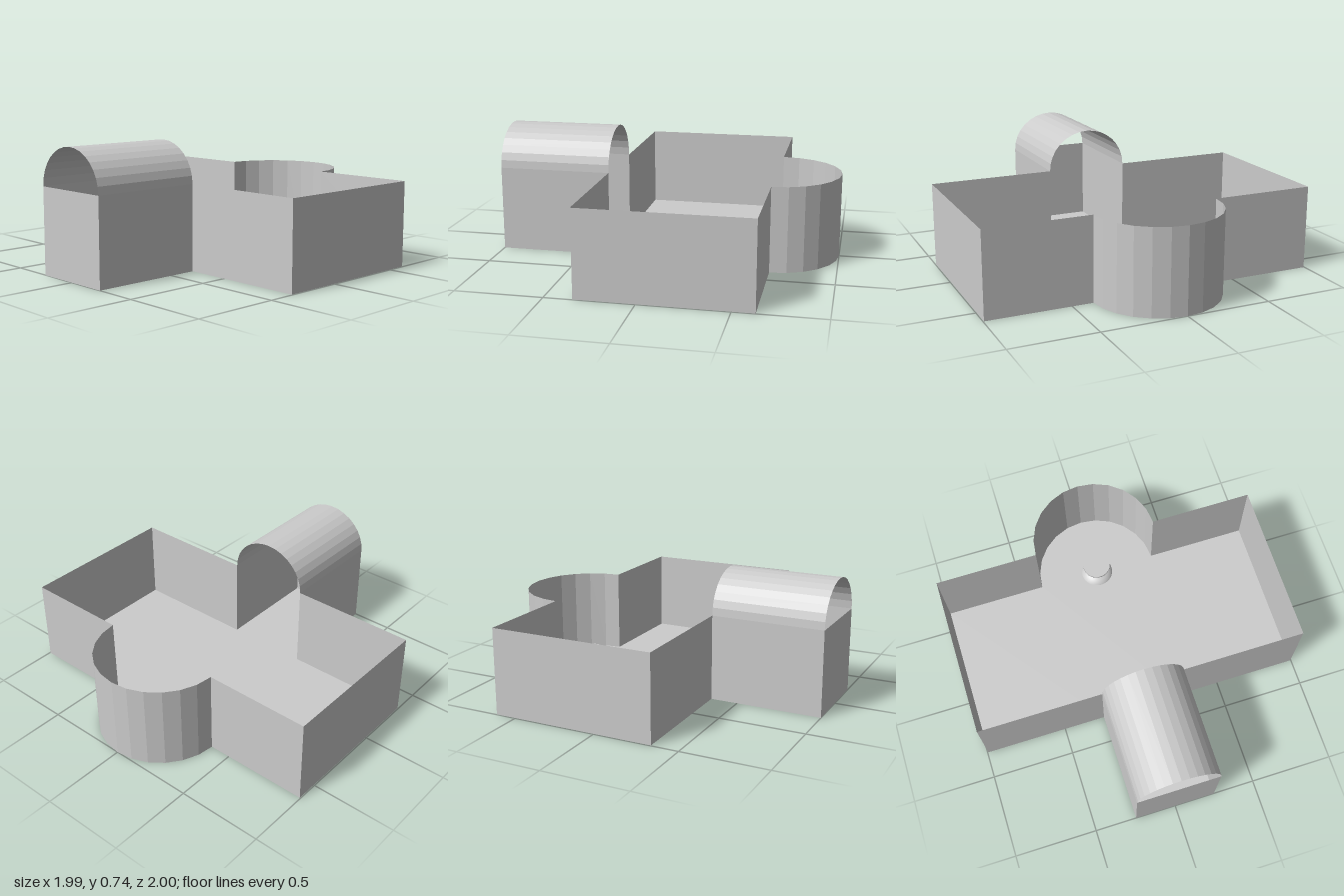
import * as THREE from 'three';

const W = 0.995, H = 0.5;            // half width and height of the hall
const BACK = -0.625, FRONT = 0.34;   // hall ends along z
const PORCH = 0.248, RISE = 0.235;   // porch half width and vault rise
const APSE = 0.375;                  // apse radius

const material = new THREE.MeshStandardMaterial({
  color: 0xcccccc, flatShading: true, side: THREE.DoubleSide,
});
const smooth = new THREE.MeshStandardMaterial({ color: 0xcccccc, side: THREE.DoubleSide });

// Open surface of quads between two matching rows of points
function strip(name, rowA, rowB) {
  const positions = [];
  for (let i = 0; i < rowA.length - 1; i++) {
    const [a, b, c, d] = [rowA[i], rowA[i + 1], rowB[i + 1], rowB[i]];
    positions.push(...a, ...b, ...c, ...a, ...c, ...d);
  }
  const geometry = new THREE.BufferGeometry();
  geometry.setAttribute('position', new THREE.Float32BufferAttribute(positions, 3));
  geometry.computeVertexNormals();
  const mesh = new THREE.Mesh(geometry, material);
  mesh.name = name;
  return mesh;
}

// Upright thin wall along a plan path of [x, z] points
const wall = (name, path) =>
  strip(name, path.map(([x, z]) => [x, 0, z]), path.map(([x, z]) => [x, H, z]));

// Half circle as unit [cos, sin] pairs
const halfCircle = (n) => Array.from({ length: n + 1 }, (_, i) => {
  const a = (Math.PI * i) / n;
  return [Math.cos(a), Math.sin(a)];
});

export function createModel() {
  const group = new THREE.Group();
  group.name = 'chapel';

  // Plan paths
  const apse = halfCircle(12).map(([c, s]) => [APSE * c, BACK - APSE * s]);
  const leftSide = [[PORCH, FRONT], [W, FRONT], [W, BACK], [APSE, BACK]];
  const rightSide = leftSide.map(([x, z]) => [-x, z]).reverse();
  const porch = [[-PORCH, FRONT], [-PORCH, 1], [PORCH, 1], [PORCH, FRONT]];

  // Walls, open to each other inside
  group.add(
    wall('leftHallWalls', leftSide),
    wall('apseWall', apse),
    wall('rightHallWalls', rightSide),
    wall('porchWalls', porch),
  );

  // Floor under the whole plan
  const outline = [...leftSide, ...apse.slice(1, -1), ...rightSide, ...porch.slice(1, 3)]
    .map(([x, z]) => new THREE.Vector2(x, z));
  const floor = new THREE.Mesh(
    new THREE.ShapeGeometry(new THREE.Shape(outline)).rotateX(Math.PI / 2), material);
  floor.name = 'floor';
  group.add(floor);

  // Barrel vault over the porch, open at both ends
  const arch = halfCircle(16).map(([c, s]) => [PORCH * c, H + RISE * s]);
  group.add(strip('porchVault',
    arch.map(([x, y]) => [x, y, 1]), arch.map(([x, y]) => [x, y, FRONT])));

  // Round font: domed foot, narrow stem and flared bowl
  const profile = [
    [0.1, 0], [0.092, 0.013], [0.075, 0.026], [0.05, 0.036], [0.034, 0.044],
    [0.029, 0.056], [0.032, 0.068], [0.05, 0.078], [0.075, 0.086], [0.086, 0.093], [0.086, 0.102],
  ].map(([r, y]) => new THREE.Vector2(r, y));
  const font = new THREE.Group();
  font.name = 'font';
  const body = new THREE.Mesh(new THREE.LatheGeometry(profile, 32), smooth);
  body.name = 'fontBody';
  const top = new THREE.Mesh(new THREE.CircleGeometry(0.086, 32).rotateX(-Math.PI / 2), smooth);
  top.name = 'fontTop';
  top.position.y = 0.102;
  font.add(body, top);
  font.position.z = BACK;
  group.add(font);

  return group;
}
